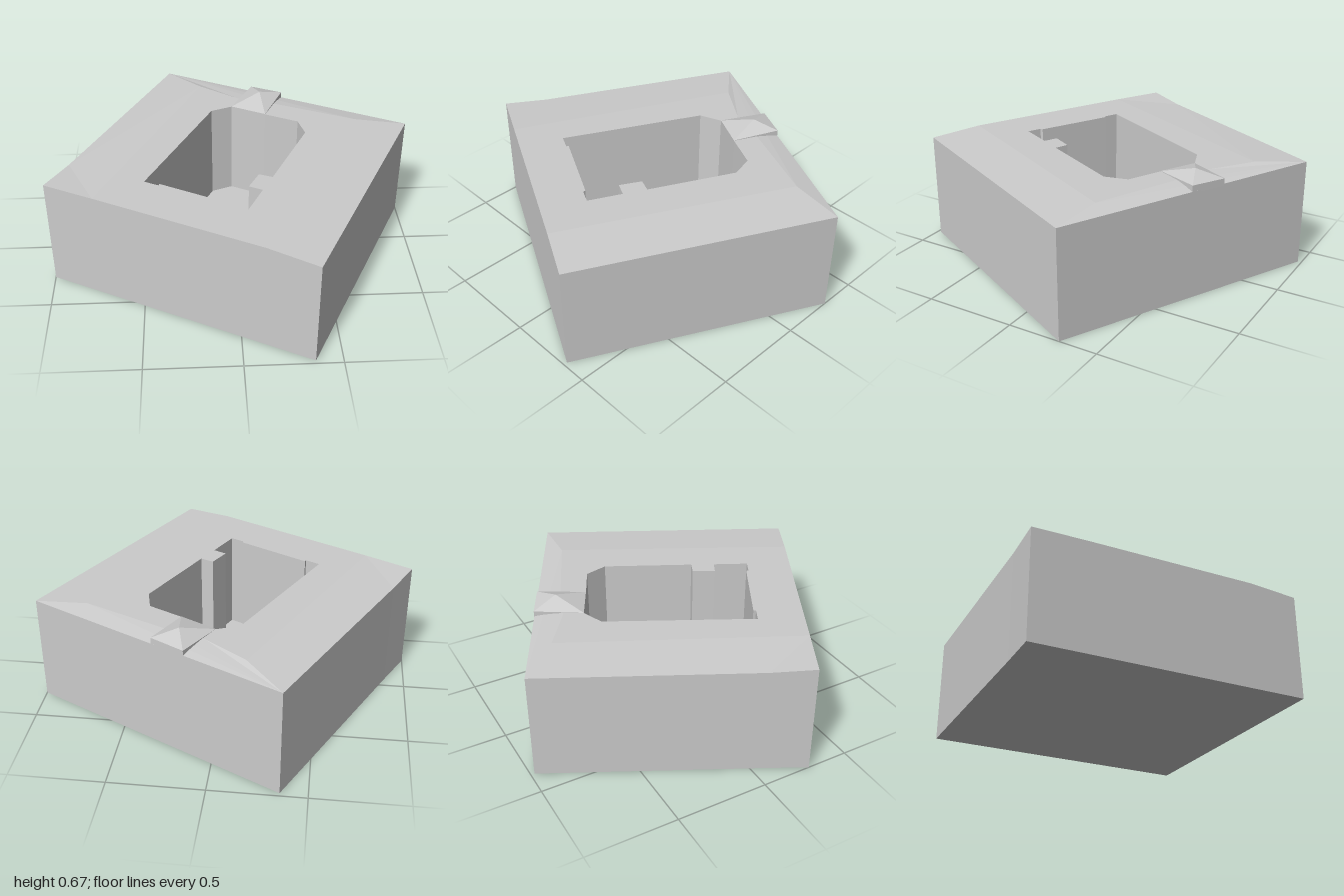
import * as THREE from 'three';

const TOP = 0.617, LOW = 0.596, FLOOR = 0.05;
const material = new THREE.MeshStandardMaterial({ color: 0xcccccc, flatShading: true });

// Polygons (each a list of [x, y, z] corners) become one flat-faced mesh.
function polygonMesh(name, polygons) {
  const positions = [];
  for (const p of polygons) {
    for (let i = 1; i < p.length - 1; i++) positions.push(...p[0], ...p[i], ...p[i + 1]);
  }
  const geometry = new THREE.BufferGeometry();
  geometry.setAttribute('position', new THREE.Float32BufferAttribute(positions, 3));
  geometry.computeVertexNormals();
  const mesh = new THREE.Mesh(geometry, material);
  mesh.name = name;
  return mesh;
}

// Vertical walls hanging from a closed ring of top points.
function walls(ring, bottom) {
  return ring.map((a, i) => {
    const b = ring[(i + 1) % ring.length];
    return [a, [a[0], bottom, a[2]], [b[0], bottom, b[2]], b];
  });
}

// Level face from a ring, optionally with a hole.
function levelMesh(name, ring, y, hole) {
  const flat = (r) => r.map(([x, , z]) => new THREE.Vector2(x, -z));
  const shape = new THREE.Shape(flat(ring));
  if (hole) shape.holes.push(new THREE.Path(flat(hole)));
  const geometry = new THREE.ShapeGeometry(shape);
  geometry.rotateX(-Math.PI / 2).translate(0, y, 0);
  const mesh = new THREE.Mesh(geometry, material);
  mesh.name = name;
  return mesh;
}

export function createModel() {
  const group = new THREE.Group();
  group.name = 'excavatedGroundBlock';

  // Outer corners and the points where the top edge bends
  const backRight = [-0.36, LOW, -0.98];
  const sideBend = [-0.89, 0.6, 0.06];
  const frontRight = [-1, 0.614, 0.27];
  const frontBendRight = [-0.74, TOP, 0.406];
  const frontBendLeft = [0.11, TOP, 0.849];
  const frontLeft = [0.36, LOW, 0.98];
  const backLeft = [1, LOW, -0.29];
  const outer = [backRight, sideBend, frontRight, frontBendRight, frontBendLeft, frontLeft, backLeft];

  // Back line of the level ground
  const innerRight = [-0.17, TOP, -0.76];
  const innerMidRight = [0.05, TOP, -0.6];
  const innerMidLeft = [0.27, TOP, -0.52];
  const innerLeft = [0.71, TOP, -0.32];

  // Pit outline with its notches
  const pit = [
    [-0.11, -0.455], [0.01, -0.5], [0.2, -0.4], [0.38, -0.31], [0.41, -0.185],
    [0.19, 0.255], [0.12, 0.225], [0.06, 0.335], [0.13, 0.37], [0.045, 0.54],
    [-0.025, 0.505], [-0.025, 0.49], [-0.4, 0.29], [-0.405, 0.303], [-0.48, 0.265],
  ].map(([x, z]) => [x, TOP, z]);

  // Block sides and underside
  const underside = outer.map(([x, , z]) => [x, 0, z]).reverse();
  group.add(polygonMesh('blockSides', walls(outer, 0)));
  group.add(polygonMesh('underside', [underside]));

  // Level ground around the pit and the sloping rim
  const plateau = [innerRight, frontBendRight, frontBendLeft, innerLeft, innerMidLeft, innerMidRight];
  group.add(levelMesh('levelGround', plateau, TOP, pit));
  group.add(polygonMesh('slopingRim', [
    [backRight, innerRight, innerMidRight, innerMidLeft, innerLeft, backLeft],
    [backLeft, innerLeft, frontBendLeft, frontLeft],
    [frontRight, frontBendRight, sideBend],
    [sideBend, frontBendRight, innerRight, backRight],
  ]));

  // Pit
  group.add(polygonMesh('pitWalls', walls(pit, FLOOR)));
  group.add(levelMesh('pitFloor', pit, FLOOR));

  // Small peaked mound between the pit and the back edge
  const mound = [[0.01, 0.618, -0.5], [0.2, 0.619, -0.4], [0.315, 0.63, -0.637], [0.14, 0.625, -0.728]];
  const peak = [0.18, 0.666, -0.585];
  const slopes = mound.map((a, i) => [a, mound[(i + 1) % mound.length], peak]);
  group.add(polygonMesh('mound', [...slopes, ...walls(mound, 0.585)]));

  return group;
}
